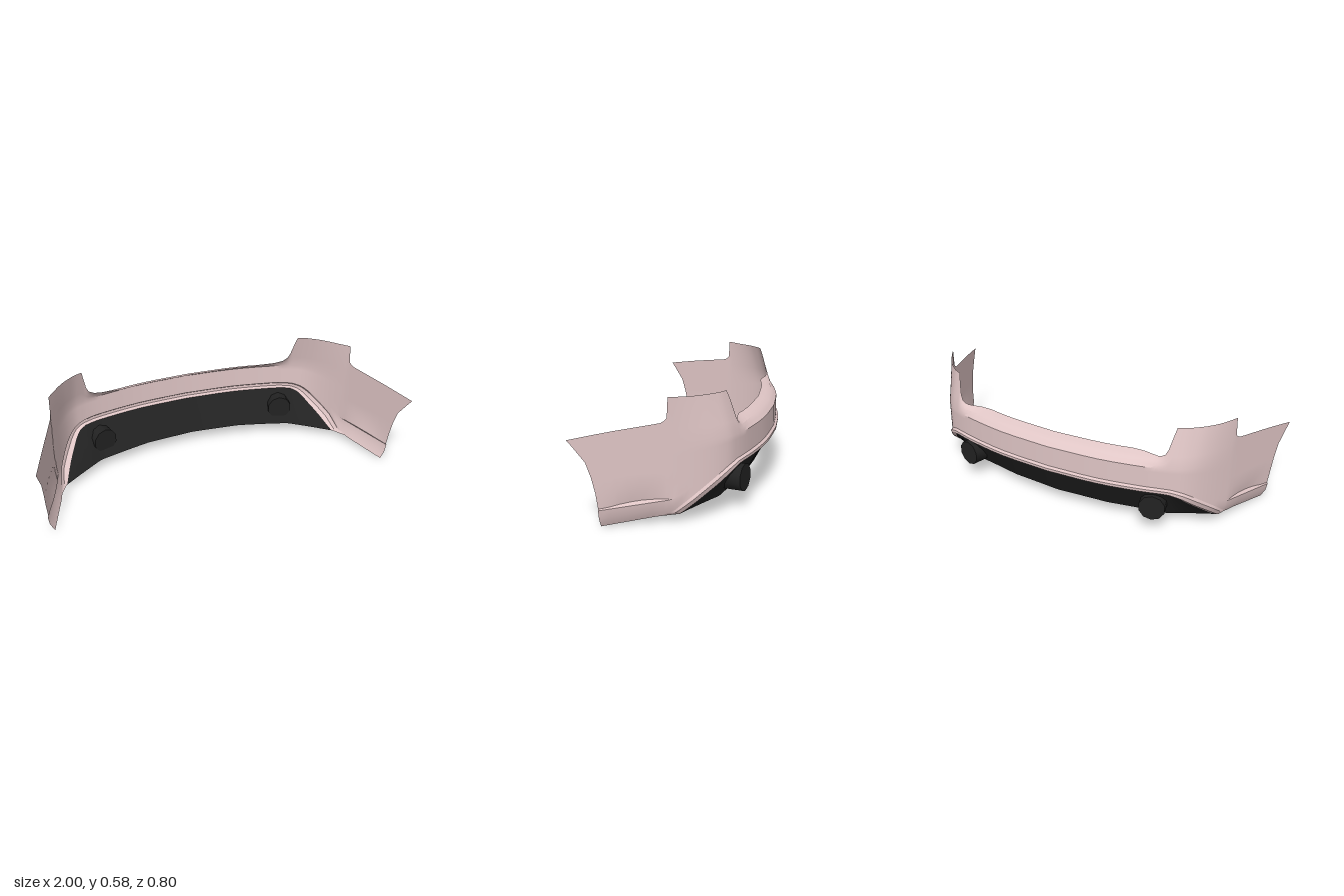
import * as THREE from 'three';
import { toCreasedNormals } from 'three/addons/utils/BufferGeometryUtils.js';

const { lerp, clamp } = THREE.MathUtils;

// Piecewise linear lookup in a list of [key, value]
function table(t, pairs) {
  if (t <= pairs[0][0]) return pairs[0][1];
  for (let i = 1; i < pairs.length; i++) {
    const [a, p] = pairs[i - 1], [b, q] = pairs[i];
    if (t <= b) return lerp(p, q, (t - a) / (b - a));
  }
  return pairs[pairs.length - 1][1];
}

// Skin a half set of columns (centre outwards), mirrored to both sides
function skin(half, crease) {
  const mirrored = half.slice(1).reverse().map(col => col.map(([x, y, z]) => [-x, y, z]));
  const cols = [...mirrored, ...half];
  const rows = half[0].length;
  const index = [];
  for (let c = 0; c < cols.length - 1; c++) {
    for (let r = 0; r < rows - 1; r++) {
      const a = c * rows + r, d = a + rows;
      index.push(a, d, d + 1, a, d + 1, a + 1);
    }
  }
  const geo = new THREE.BufferGeometry();
  geo.setAttribute('position', new THREE.Float32BufferAttribute(cols.flat(2), 3));
  geo.setIndex(index);
  return toCreasedNormals(geo, crease);
}

// Plan of the rear face and corner, from the centre line to the tower's front edge
const PLAN = [[0, -0.385], [0.28, -0.368], [0.48, -0.332], [0.56, -0.312], [0.605, -0.297],
  [0.63, -0.287], [0.68, -0.262], [0.73, -0.215], [0.775, -0.15], [0.815, -0.075], [0.845, -0.01]];
const WING = [0.012, 0.035, 0.075, 0.14, 0.25, 0.4, 0.55, 0.7, 0.85, 1];

const wingEnd = y => table(y, [[0, 0.28], [0.1, 0.283], [0.2, 0.295], [0.315, 0.33], [0.412, 0.4]]);
const rearTop = x => table(x, [[0, 0.425], [0.56, 0.428], [0.59, 0.44], [0.605, 0.47], [0.63, 0.58], [0.8, 0.58], [0.845, 0.585]]);
const wingTop = f => table(f, [[0, 0.585], [0.012, 0.49], [0.035, 0.48], [0.075, 0.47], [0.6, 0.44], [1, 0.412]]);
const bottomY = z => table(z, [[-0.31, 0.27], [-0.285, 0.265], [-0.255, 0.245], [-0.14, 0.15], [-0.03, 0.06], [0.03, 0.035], [0.28, 0.002]]);
const CREST = 0.38;

// Stations: x and z in plan, f is the way along the side wing
function stations() {
  const curve = new THREE.CatmullRomCurve3(PLAN.map(([x, z]) => new THREE.Vector3(x, 0, z)));
  const rear = curve.getPoints((PLAN.length - 1) * 3).map(p => ({ x: p.x, z: p.z, f: 0 }));
  return [...rear, ...WING.map(f => ({ x: 0.845 + f * 0.29 * 0.378, z: -0.01 + f * 0.29, f }))];
}

function bodyPoint(s, y) {
  if (!s.f) return [s.x, y, s.z];
  const z = -0.01 + s.f * (wingEnd(y) + 0.01);
  return [0.845 + (z + 0.01) * 0.378, y, z];
}

// One column of the body, top edge to bottom edge
function bodyColumn(s) {
  const top = s.f ? wingTop(s.f) : rearTop(s.x);
  const low = bottomY(s.z);
  const col = [];
  // Shelf across the centre blending into the leaning towers
  const shelf = 1 - clamp((s.x - 0.45) / 0.17, 0, 1);
  for (const t of [1, 0.8, 0.6, 0.3, 0]) {
    const p = bodyPoint(s, lerp(CREST, top, t));
    const ledge = t <= 0.6 ? 0.05 * t : 0.03 + (t - 0.6) * 0.1375;
    const lean = 0.055 * (p[1] - CREST) / 0.2 * clamp(-(s.z + 0.01) / 0.23, 0, 1);
    p[2] += lerp(lean, ledge, shelf);
    col.push(p);
  }
  // Side face down to the small ledge, then the tucked-in skirt
  const along = clamp((s.z + 0.03) / 0.31, 0, 1);
  const ledgeY = s.z < -0.03 ? lerp(CREST, low, 0.82) : lerp(0.118, 0.085, along);
  const cut = Math.sin(Math.PI * Math.min(along, 0.9));
  const upperY = ledgeY + 0.002 + 0.013 * cut;
  for (const t of [0.25, 0.5, 0.75, 1]) {
    const p = bodyPoint(s, lerp(CREST, upperY, t));
    if (t === 1) p[0] -= 0.014 * cut;
    col.push(p);
  }
  const tuck = 0.028 * clamp((s.z + 0.1) / 0.15, 0, 1);
  for (const t of [0, 0.5, 1]) {
    const p = bodyPoint(s, lerp(ledgeY, low, t));
    p[0] -= tuck * t * t;
    col.push(p);
  }
  return col;
}

// Lower edge of the lip, where the dark panel starts
function panelEdge(s) {
  const k = clamp((s.x - 0.6) / 0.15, 0, 1);
  const z = Math.min(s.z, -0.03), x = Math.min(s.x, 0.836);
  return [x - 0.043 * k, Math.max(bottomY(z) - 0.03, 0.035), z + lerp(0.01, -0.018, k)];
}

function lipColumn(s) {
  const body = bodyColumn(s), a = body[body.length - 1], d = panelEdge(s);
  const side = clamp((s.x - 0.55) / 0.25, 0, 1);
  const fade = 1 - clamp((s.z + 0.1) / 0.13, 0, 1);
  const between = (t, out) => [
    lerp(a[0], d[0], t) + out * side * fade,
    lerp(a[1], d[1], t),
    lerp(a[2], d[2], t) - out * (1 - 0.6 * side) * fade,
  ];
  return [a, between(0.3, 0.016), between(0.8, 0.02), d];
}

function panelColumn(s) {
  const d = panelEdge(s);
  const z = table(d[0], [[0, -0.28], [0.28, -0.257], [0.57, -0.19], [0.793, -0.046]]);
  const low = [d[0], 0.065 - 0.031 * (d[0] / 0.793) ** 3, z];
  const mid = d.map((v, i) => (v + low[i]) / 2);
  return [d, mid, low];
}

export function createModel() {
  const group = new THREE.Group();
  const paint = new THREE.MeshStandardMaterial({ color: 0xe0c6c6, side: THREE.DoubleSide });
  const dark = new THREE.MeshStandardMaterial({ color: 0x222222, side: THREE.DoubleSide });
  const add = (name, geo, mat) => {
    const mesh = new THREE.Mesh(geo, mat);
    mesh.name = name;
    group.add(mesh);
    return mesh;
  };

  const all = stations();
  const rear = all.filter(s => s.z <= 0.035);
  add('bumperBody', skin(all.map(bodyColumn), 0.5), paint);
  add('lowerLip', skin(rear.map(lipColumn), 0.5), paint);
  add('lowerPanel', skin(rear.filter(s => s.z <= -0.01).map(panelColumn), 0.5), dark);

  // Exhaust tips, turned slightly outwards
  for (const side of [-1, 1]) {
    const geo = toCreasedNormals(new THREE.CylinderGeometry(0.068, 0.068, 0.09, 10).rotateX(-Math.PI / 2), 0.7);
    const tip = add(side > 0 ? 'leftExhaustTip' : 'rightExhaustTip', geo, dark);
    tip.position.set(side * 0.54, 0.148, -0.268);
    tip.rotation.y = -side * 0.25;
  }
  return group;
}
